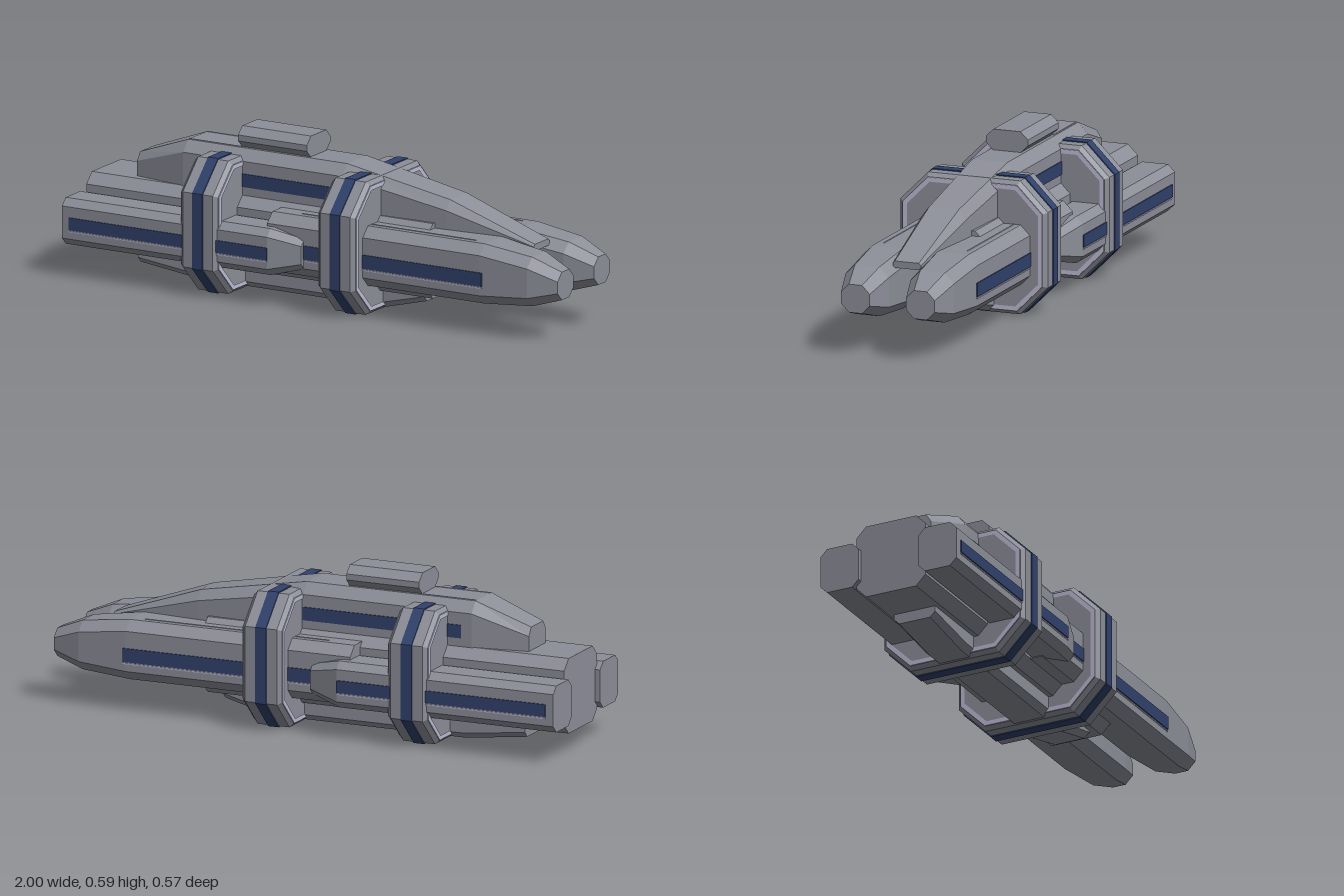
import * as THREE from 'three';

const mat = (name, color) => Object.assign(new THREE.MeshStandardMaterial({ color, flatShading: true }), { name });

// Chamfered octagon in (z, y), counter-clockwise when seen from +x
const oct = (z0, z1, y0, y1, c, d = c) => [
  [z0 + c, y1], [z1 - c, y1], [z1, y1 - d], [z1, y0 + d],
  [z1 - c, y0], [z0 + c, y0], [z0, y0 + d], [z0, y1 - d],
];

// Flat-faced hull through cross-sections [x, points], ordered from tail to nose
function loft(sections) {
  const pos = [];
  const put = (s, i) => pos.push(s[0], s[1][i][1], s[1][i][0]);
  const tri = (...corners) => corners.forEach(([s, i]) => put(s, i));
  const n = sections[0][1].length;
  for (let k = 0; k < sections.length - 1; k++) {
    const a = sections[k], b = sections[k + 1];
    for (let i = 0; i < n; i++) {
      const j = (i + 1) % n;
      tri([a, i], [a, j], [b, j], [a, i], [b, j], [b, i]);
    }
  }
  const tail = sections[0], nose = sections[sections.length - 1];
  for (let i = 1; i < n - 1; i++) {
    tri([nose, 0], [nose, i], [nose, i + 1]);
    tri([tail, 0], [tail, i + 1], [tail, i]);
  }
  const g = new THREE.BufferGeometry();
  g.setAttribute('position', new THREE.Float32BufferAttribute(pos, 3));
  g.computeVertexNormals();
  return g;
}

export function createModel() {
  const model = new THREE.Group();
  model.name = 'spaceship';
  const grey = mat('hullGrey', 0x8d8f99);
  const blue = mat('stripeBlue', 0x30416c);
  const pale = mat('trimLavender', 0xbdbbd4);

  const add = (name, geo, material, parent = model) => {
    const m = new THREE.Mesh(geo, material);
    m.name = name;
    parent.add(m);
    return m;
  };
  // Thin plate given by its extents
  const plate = (name, x0, x1, y0, y1, z0, z1, material) =>
    add(name, new THREE.BoxGeometry(x1 - x0, y1 - y0, z1 - z0), material)
      .position.set((x0 + x1) / 2, (y0 + y1) / 2, (z0 + z1) / 2);

  // Central core
  const core = oct(-0.138, 0.138, 0.08, 0.355, 0.038);
  add('coreBody', loft([[-0.98, core], [0.435, core]]), grey);

  // Dorsal spine
  add('dorsalSpine', loft([
    [-0.81, oct(-0.07, 0.07, 0.3, 0.44, 0.02, 0.03)],
    [-0.6, oct(-0.102, 0.102, 0.3, 0.517, 0.035, 0.04)],
    [0.06, oct(-0.102, 0.102, 0.3, 0.517, 0.035, 0.04)],
    [0.48, oct(-0.085, 0.085, 0.295, 0.44, 0.028, 0.035)],
    [0.825, oct(-0.054, 0.054, 0.295, 0.32, 0.008)],
  ]), grey);

  // Pod on top of the spine
  const top = oct(-0.081, 0.081, 0.515, 0.593, 0.029, 0.028);
  add('topPod', loft([[-0.385, top], [-0.1, top]]), grey);

  // Keel under the core
  add('keel', loft([
    [-0.8, oct(-0.082, 0.082, 0.04, 0.14, 0.02)],
    [-0.56, oct(-0.082, 0.082, 0.01, 0.14, 0.022)],
    [0.21, oct(-0.082, 0.082, 0.01, 0.14, 0.022)],
    [0.385, oct(-0.078, 0.078, 0.055, 0.14, 0.02)],
  ]), grey);

  // Paired hulls, pods and stripes
  for (const [label, s] of [['front', 1], ['back', -1]]) {
    const side = (z0, z1, ...rest) => (s > 0 ? oct(z0, z1, ...rest) : oct(-z1, -z0, ...rest));
    const strip = (name, x0, x1, y0, y1, z0, z1, m) =>
      plate(name, x0, x1, y0, y1, Math.min(s * z0, s * z1), Math.max(s * z0, s * z1), m);

    add(label + 'Hull', loft([
      [-0.18, side(0.03, 0.22, 0.117, 0.336, 0.036)],
      [0.7, side(0.03, 0.22, 0.117, 0.336, 0.036)],
      [0.89, side(0.042, 0.208, 0.13, 0.31, 0.036)],
      [1.0, side(0.07, 0.18, 0.162, 0.265, 0.03)],
    ]), grey);
    add(label + 'RearPod', loft([
      [-1.0, side(0.12, 0.272, 0.12, 0.29, 0.026)],
      [-0.15, side(0.12, 0.272, 0.12, 0.29, 0.026)],
      [-0.03, side(0.14, 0.235, 0.15, 0.26, 0.022)],
    ]), grey);

    strip(label + 'HullStripe', -0.03, 0.71, 0.188, 0.238, 0.218, 0.224, blue);
    strip(label + 'HullTrim', -0.03, 0.71, 0.18, 0.184, 0.218, 0.223, pale);
    strip(label + 'PodStripe', -0.97, -0.15, 0.18, 0.225, 0.27, 0.276, blue);
    strip(label + 'PodTrim', -0.97, -0.15, 0.172, 0.176, 0.27, 0.275, pale);
    strip(label + 'SpineStripe', -0.56, 0.06, 0.384, 0.432, 0.1, 0.106, blue);
    strip(label + 'HullTopLine', -0.07, 0.65, 0.334, 0.338, 0.158, 0.162, pale);
    strip(label + 'SpineTopLine', -0.6, -0.385, 0.515, 0.519, 0.058, 0.062, pale);
  }

  // Octagonal ring collars
  const ringOct = (d) => oct(-0.283 + d, 0.283 - d, 0.006 + d, 0.493 - d, 0.106 - 0.586 * d);
  const toVec = (pts) => pts.map(([z, y]) => new THREE.Vector2(z, y));
  for (const [label, x] of [['fore', 0.14], ['aft', -0.43]]) {
    const ring = new THREE.Group();
    ring.name = label + 'Ring';
    ring.position.x = x;
    model.add(ring);
    add('collar', loft([
      [-0.076, ringOct(0.014)], [-0.062, ringOct(0)],
      [0.062, ringOct(0)], [0.076, ringOct(0.014)],
    ]), grey, ring);
    add('collarStripe', loft([[-0.021, ringOct(-0.004)], [0.021, ringOct(-0.004)]]), blue, ring);
    // Pale frame on both faces
    const frame = new THREE.Shape(toVec(ringOct(0.015)));
    frame.holes.push(new THREE.Path(toVec(ringOct(0.031))));
    const frameGeo = new THREE.ExtrudeGeometry(frame, { depth: 0.004, bevelEnabled: false });
    frameGeo.rotateY(-Math.PI / 2);
    add('noseSideFrame', frameGeo, pale, ring).position.x = 0.079;
    add('tailSideFrame', frameGeo, pale, ring).position.x = -0.075;
  }
  return model;
}
